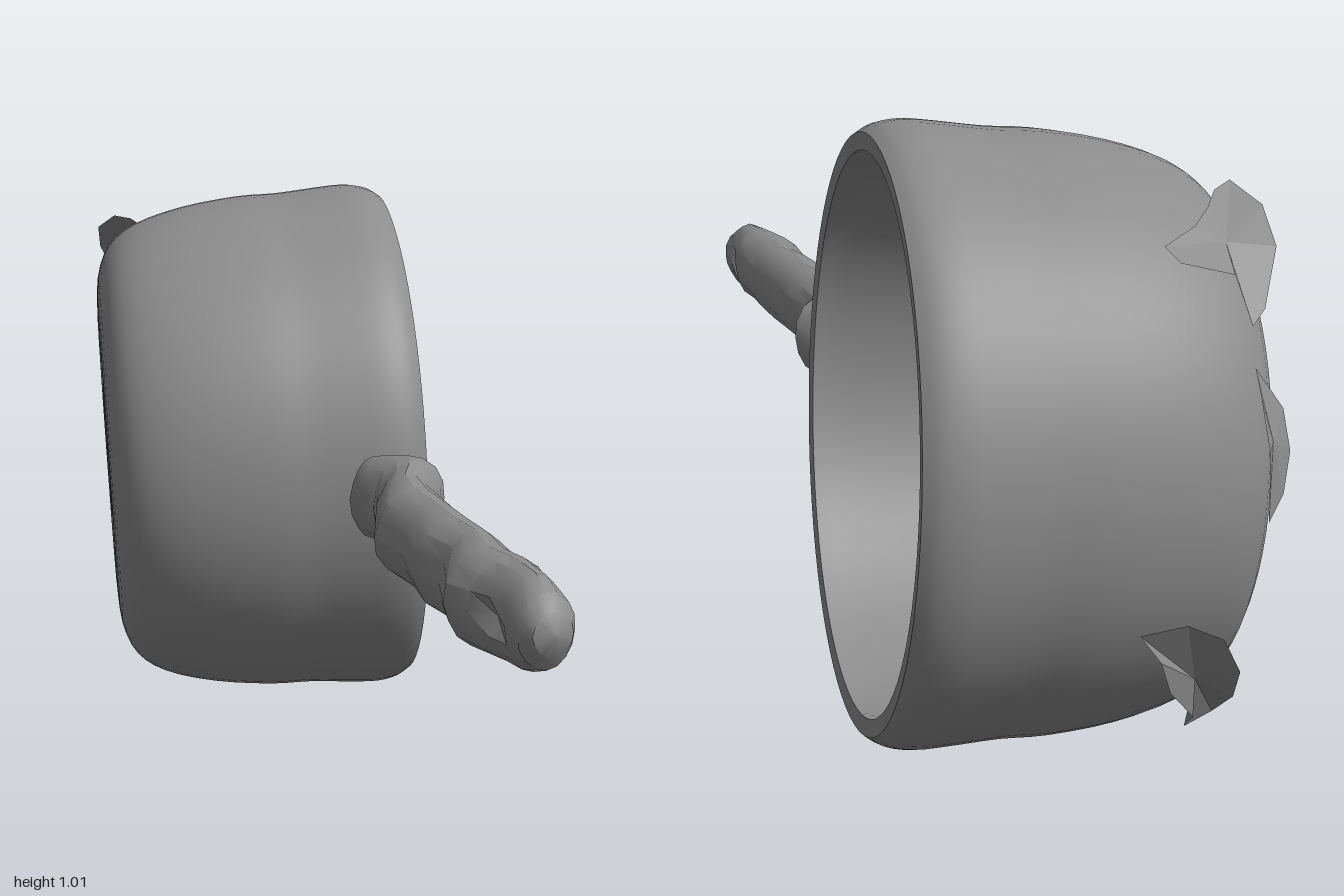
import * as THREE from 'three';
import { toCreasedNormals } from 'three/addons/utils/BufferGeometryUtils.js';

const gray = new THREE.MeshStandardMaterial({ color: 0x8c8c8c, side: THREE.DoubleSide });
gray.name = 'dull metal gray';

function add(group, name, geometry) {
  const mesh = new THREE.Mesh(geometry, gray);
  mesh.name = name;
  group.add(mesh);
  return mesh;
}

// Pan body: lathe about its own axis, rim at height 0, base at -0.57
function bodyGeometry() {
  const outer = new THREE.SplineCurve([
    [0.27, -0.572], [0.35, -0.566], [0.412, -0.54], [0.452, -0.485], [0.48, -0.39], [0.495, -0.28],
    [0.497, -0.2], [0.504, -0.12], [0.507, -0.065], [0.5, -0.025], [0.485, 0],
  ].map(p => new THREE.Vector2(...p))).getPoints(30);
  const inner = new THREE.SplineCurve([
    [0.456, -0.003], [0.465, -0.06], [0.466, -0.2], [0.458, -0.32], [0.428, -0.45],
    [0.37, -0.52], [0.3, -0.536],
  ].map(p => new THREE.Vector2(...p))).getPoints(24);
  // shallow turned rings on the underside and the floor
  const rings = y => [0, 0.06, 0.12, 0.18, 0.23].map((r, i) => new THREE.Vector2(r, y + (i % 2) * 0.004));
  const profile = [...rings(-0.572), ...outer, ...inner, ...rings(-0.54).reverse()];
  return toCreasedNormals(new THREE.LatheGeometry(profile, 72), 0.7);
}

// Handle: rough-hewn grip lofted through [z, xMin, xMax, yMin, yMax] sections
function handleGeometry() {
  const sections = [
    [0.13, -0.01, 0.075, 0.455, 0.605], [0.165, -0.01, 0.105, 0.456, 0.615],
    [0.21, 0.0, 0.14, 0.457, 0.622], [0.25, -0.01, 0.115, 0.458, 0.618],
    [0.3, -0.03, 0.08, 0.459, 0.616], [0.4, -0.07, 0.072, 0.46, 0.617],
    [0.5, -0.062, 0.06, 0.462, 0.616], [0.6, -0.082, 0.053, 0.463, 0.62],
    [0.68, -0.073, 0.045, 0.465, 0.621], [0.78, -0.11, 0.033, 0.468, 0.624],
    [0.84, -0.1, 0.033, 0.472, 0.627], [0.88, -0.088, 0.02, 0.476, 0.628],
    [0.93, -0.083, 0.012, 0.48, 0.627], [0.97, -0.08, 0.01, 0.495, 0.61],
    [0.99, -0.066, -0.005, 0.52, 0.588],
  ];
  const n = 16, pos = [], index = [];
  sections.forEach(([z, x0, x1, y0, y1], k) => {
    for (let i = 0; i < n; i++) {
      const a = i / n * Math.PI * 2;
      // hanging-hole dents on both flanks near the tip
      const dent = Math.abs(z - 0.9) < 0.03 && Math.abs(Math.sin(a)) < 0.3 ? 0.62 : 1;
      const chip = 1 + 0.04 * Math.sin(k * 2.3 + i * 1.7);
      const c = Math.sign(Math.cos(a)) * Math.pow(Math.abs(Math.cos(a)), 1.1);
      pos.push((x0 + x1) / 2 + c * (x1 - x0) / 2 * dent * chip,
        (y0 + y1) / 2 + Math.sin(a) * (y1 - y0) / 2, z);
    }
  });
  for (let k = 0; k < sections.length - 1; k++) {
    for (let i = 0; i < n; i++) {
      const a = k * n + i, b = k * n + (i + 1) % n;
      index.push(a, b, b + n, a, b + n, a + n);
    }
  }
  // end caps
  const last = (sections.length - 1) * n, tip = pos.length / 3;
  pos.push(-0.035, 0.555, 1.0, 0.033, 0.53, 0.13);
  for (let i = 0; i < n; i++) {
    const j = (i + 1) % n;
    index.push(last + i, last + j, tip, j, i, tip + 1);
  }
  const g = new THREE.BufferGeometry();
  g.setAttribute('position', new THREE.Float32BufferAttribute(pos, 3));
  g.setIndex(index);
  return toCreasedNormals(g, 0.5);
}

// Thin loose flake: fan from the centre of its outline
function flakeGeometry(outline) {
  const n = outline.length;
  const centre = [0, 1, 2].map(k => outline.reduce((s, p) => s + p[k], 0) / n);
  const pos = outline.flatMap((p, i) => [...centre, ...p, ...outline[(i + 1) % n]]);
  const g = new THREE.BufferGeometry();
  g.setAttribute('position', new THREE.Float32BufferAttribute(pos, 3));
  g.computeVertexNormals();
  return g;
}

export function createModel() {
  const model = new THREE.Group();
  model.name = 'saucepan';

  const body = add(model, 'panBody', bodyGeometry());
  const axis = new THREE.Vector3(0.975, 0.04, 0.218).normalize();
  body.quaternion.setFromUnitVectors(new THREE.Vector3(0, 1, 0), axis);
  body.position.set(0.262, 0.522, -0.382);

  add(model, 'handle', handleGeometry());

  // flakes hovering behind the far wall
  add(model, 'upperFlake', flakeGeometry([
    [-0.22, 0.95, -0.7], [-0.24, 0.92, -0.76], [-0.22, 0.87, -0.83], [-0.17, 0.79, -0.88],
    [-0.14, 0.77, -0.895], [-0.13, 0.84, -0.86], [-0.05, 0.86, -0.84], [-0.04, 0.88, -0.81],
    [-0.11, 0.9, -0.78], [-0.15, 0.92, -0.75], [-0.18, 0.94, -0.72],
  ]));
  add(model, 'middleFlake', flakeGeometry([
    [-0.12, 0.72, -0.935], [-0.11, 0.69, -0.965], [-0.11, 0.61, -0.995], [-0.125, 0.5, -0.978],
    [-0.15, 0.54, -0.975], [-0.165, 0.6, -0.965], [-0.16, 0.66, -0.95],
  ]));
  add(model, 'lowerFlake', flakeGeometry([
    [0.07, 0.35, -0.955], [0.0, 0.36, -0.97], [-0.06, 0.33, -0.975], [-0.11, 0.26, -0.945],
    [-0.13, 0.2, -0.9], [-0.16, 0.13, -0.8], [-0.09, 0.13, -0.83], [-0.06, 0.18, -0.9],
    [0.0, 0.24, -0.93], [0.03, 0.3, -0.95],
  ]));
  return model;
}
